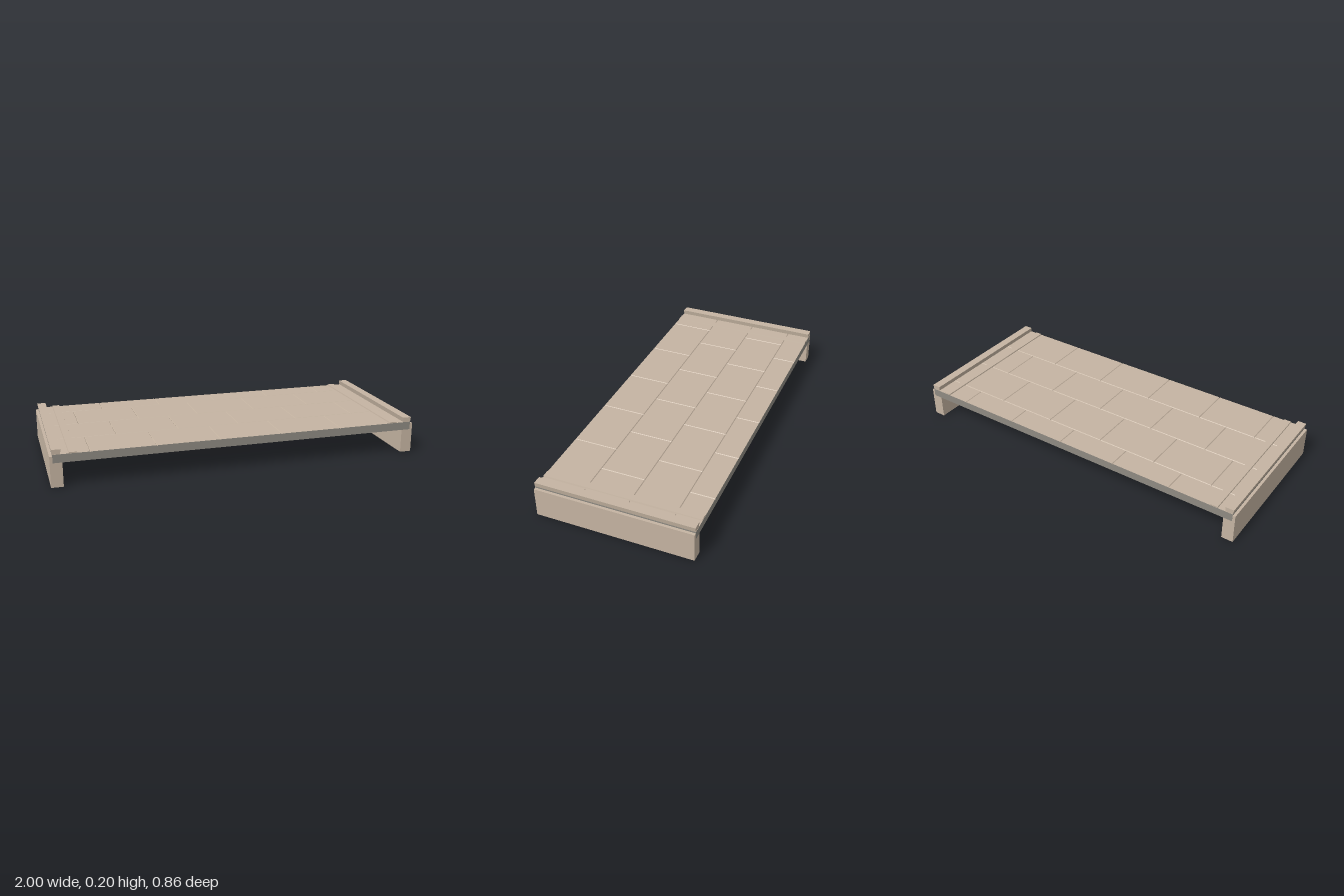
import * as THREE from 'three';

const stone = new THREE.MeshStandardMaterial({ color: 0xc5b4a2 });
stone.name = 'tan stone';
const concrete = new THREE.MeshStandardMaterial({ color: 0x8e8a82 });
concrete.name = 'grey concrete';

// Box between two corners; the top can be pulled in on each side: [left, right, back, front]
function block(name, min, max, material, inset = [0, 0, 0, 0]) {
  const size = max.map((v, i) => v - min[i]);
  const geometry = new THREE.BoxGeometry(...size);
  geometry.translate(...min.map((v, i) => v + size[i] / 2));
  const p = geometry.attributes.position;
  const [cx, cy, cz] = min.map((v, i) => v + size[i] / 2);
  for (let i = 0; i < p.count; i++) {
    if (p.getY(i) < cy) continue;
    p.setX(i, p.getX(i) + (p.getX(i) < cx ? inset[0] : -inset[1]));
    p.setZ(i, p.getZ(i) + (p.getZ(i) < cz ? inset[2] : -inset[3]));
  }
  geometry.computeVertexNormals();
  const mesh = new THREE.Mesh(geometry, material);
  mesh.name = name;
  return mesh;
}

export function createModel() {
  const group = new THREE.Group();
  group.name = 'pavedBridge';
  const W = 0.432, E = 0.985, BASE = 0.17, TOP = 0.174, GROOVE = 0.003;

  // Deck core
  group.add(block('deckSlab', [-E, 0.13, -W], [E, BASE, W], concrete));

  // Paving stones in running bond, with bevelled joints between them
  const paving = new THREE.Group();
  paving.name = 'paving';
  const rows = [-W, -0.298, -0.054, 0.19, W];
  const length = 0.34;
  for (let r = 0; r < rows.length - 1; r++) {
    const joints = [-E];
    for (let x = r % 2 ? -0.795 : -0.965; x < E - 0.01; x += length) {
      if (x > -E + 0.03) joints.push(x);
    }
    joints.push(E);
    for (let i = 0; i < joints.length - 1; i++) {
      const first = i === 0, last = i === joints.length - 2;
      const back = r === 0, front = r === rows.length - 2;
      // Outer edges of the deck stay grey and upright
      const sides = [last, first, false, false, front, back].map((outer) => (outer ? concrete : stone));
      paving.add(block('pavingStone', [joints[i], BASE, rows[r]], [joints[i + 1], TOP, rows[r + 1]], sides,
        [first, last, back, front].map((outer) => (outer ? 0 : GROOVE))));
    }
  }
  group.add(paving);

  for (const s of [-1, 1]) {
    const side = s < 0 ? 'right' : 'left';
    const span = (a, b) => (s < 0 ? [-b, -a] : [a, b]);

    // Supporting wall
    const [w0, w1] = span(0.937, 1);
    group.add(block(side + 'Wall', [w0, 0, -0.431], [w1, 0.165, 0.431], stone));

    // Kerb along the end of the deck
    const [k0, k1] = span(0.946, 0.986);
    group.add(block(side + 'Kerb', [k0, TOP, -0.431], [k1, 0.2, 0.431], stone, [-0.004, -0.004, 0, 0]));

    // Low raised strip inside the kerb
    const [t0, t1] = span(0.86, 0.905);
    group.add(block(side + 'Strip', [t0, BASE, -0.431], [t1, 0.18, 0.431], stone, [0.003, 0.003, 0, 0]));
  }
  return group;
}
